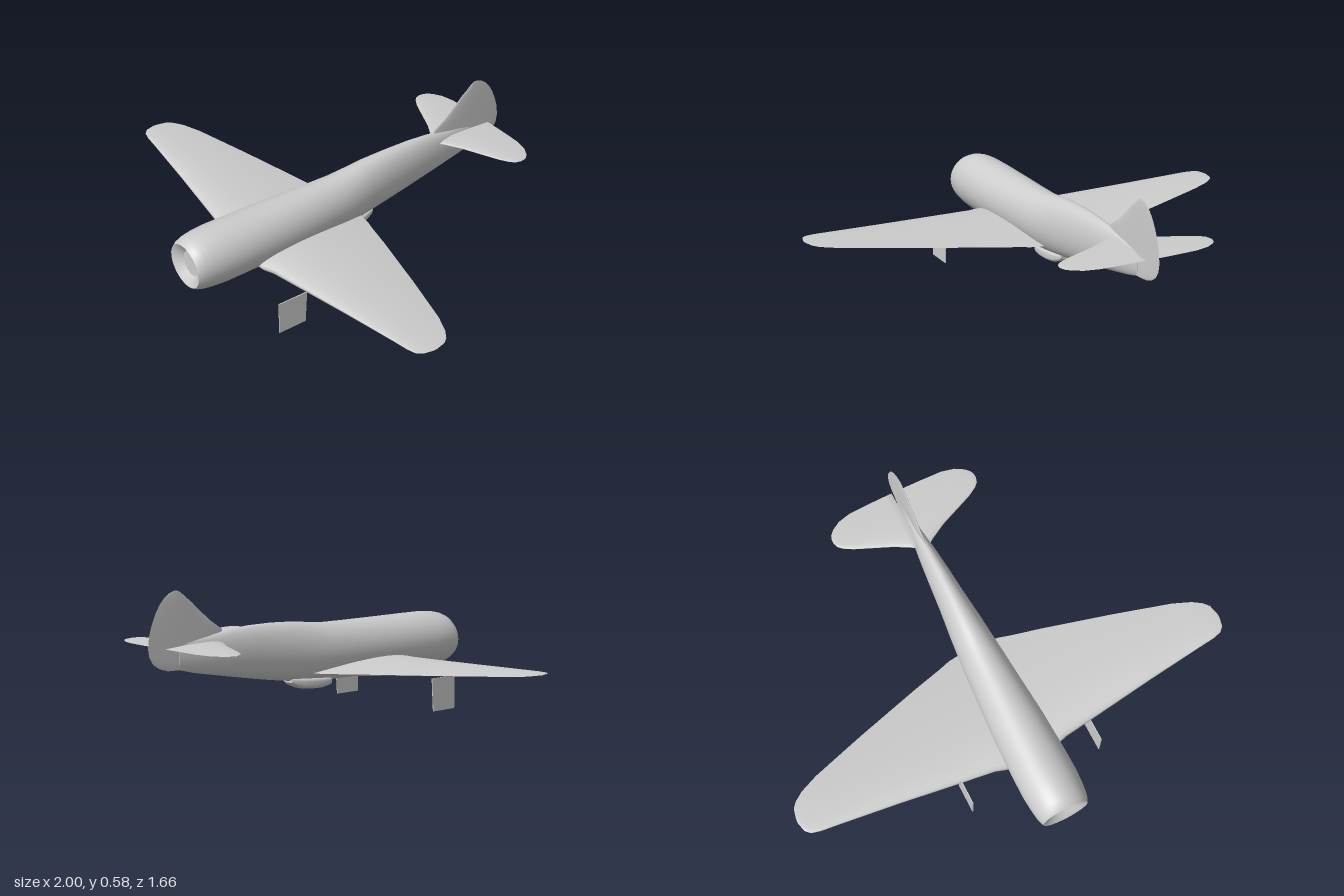
import * as THREE from 'three';

// Skin over a list of rings; "closed" joins each ring's last point to its first.
function loft(rings, closed, capEnd = false) {
  const n = rings[0].length, pos = rings.flat(2), idx = [];
  const steps = closed ? n : n - 1;
  for (let i = 0; i < rings.length - 1; i++) {
    for (let j = 0; j < steps; j++) {
      const a = i * n + j, b = i * n + (j + 1) % n, c = a + n, d = b + n;
      idx.push(a, c, b, b, c, d);
    }
  }
  if (capEnd) {
    const base = pos.length / 3, last = rings[rings.length - 1];
    last.forEach((p) => pos.push(...p));
    for (let j = 1; j < n - 1; j++) idx.push(base, base + j + 1, base + j);
  }
  const g = new THREE.BufferGeometry();
  g.setAttribute('position', new THREE.Float32BufferAttribute(pos, 3));
  g.setIndex(idx);
  g.computeVertexNormals();
  return g;
}

// Ring in the xy plane; power below 1 makes it boxier.
function oval(z, top, bottom, hw, power = 1, n = 40) {
  const bend = (v) => Math.sign(v) * Math.abs(v) ** power;
  return Array.from({ length: n }, (_, j) => {
    const a = (j / n) * Math.PI * 2;
    return [hw * bend(Math.cos(a)), (top + bottom) / 2 + ((top - bottom) / 2) * bend(Math.sin(a)), z];
  });
}

// Airfoil points [z, offset], from trailing edge over one side and back.
function airfoil(lead, trail, thick, n = 32) {
  return Array.from({ length: n + 1 }, (_, j) => {
    const a = (j / n) * Math.PI * 2, x = (1 + Math.cos(a)) / 2;
    const h = 5 * thick * (0.2969 * Math.sqrt(x) - 0.126 * x - 0.3516 * x * x + 0.2843 * x ** 3 - 0.1036 * x ** 4);
    return [lead + (trail - lead) * x, Math.sin(a) >= 0 ? h : -h];
  });
}

// Horizontal surface section: [x, lead z, trail z, y, thickness]
const wingRing = ([x, lead, trail, y, t]) => airfoil(lead, trail, t).map(([z, h]) => [x, y + h, z]);
const mirrored = (list) => list.map(([x, ...rest]) => [-x, ...rest]).reverse();

export function createModel() {
  const model = new THREE.Group();
  model.name = 'airplane';
  const grey = new THREE.MeshStandardMaterial({ color: 0xcccccc, side: THREE.DoubleSide });
  grey.name = 'light grey';
  const add = (name, geometry) => {
    const mesh = new THREE.Mesh(geometry, grey);
    mesh.name = name;
    model.add(mesh);
    return mesh;
  };

  // Fuselage: z, top, bottom, half width
  const body = [
    [0.83, 0.355, 0.168, 0.103], [0.815, 0.37, 0.158, 0.11], [0.79, 0.38, 0.15, 0.116],
    [0.75, 0.388, 0.144, 0.121], [0.69, 0.392, 0.14, 0.125], [0.58, 0.392, 0.14, 0.124],
    [0.4, 0.391, 0.14, 0.117], [0.2, 0.391, 0.14, 0.102], [0.08, 0.392, 0.141, 0.093],
    [0, 0.4, 0.145, 0.085], [-0.08, 0.409, 0.154, 0.077], [-0.2, 0.414, 0.171, 0.063],
    [-0.32, 0.413, 0.191, 0.052], [-0.42, 0.406, 0.209, 0.042], [-0.52, 0.392, 0.227, 0.03],
    [-0.6, 0.38, 0.242, 0.02], [-0.68, 0.366, 0.262, 0.008],
  ];
  add('fuselage', loft(body.map((s) => oval(...s)), true, true));

  // Recessed cowl mouth with a round hub
  add('cowlMouth', loft([
    oval(0.80, 0.315, 0.209, 0.053), oval(0.822, 0.342, 0.182, 0.085), oval(0.83, 0.355, 0.168, 0.103),
  ], true));
  add('hubDisc', new THREE.CircleGeometry(0.054, 40)).position.set(0, 0.262, 0.801);

  // Wing, one skin from tip to tip
  const wing = [
    [1, 0.365, 0.345, 0.252, 0.002], [0.99, 0.405, 0.3, 0.252, 0.006], [0.97, 0.425, 0.275, 0.25, 0.01],
    [0.93, 0.435, 0.247, 0.248, 0.014], [0.85, 0.443, 0.212, 0.243, 0.02], [0.6, 0.47, 0.133, 0.225, 0.04],
    [0.3, 0.507, 0.045, 0.204, 0.062], [0.17, 0.522, 0.01, 0.194, 0.076], [0.12, 0.537, -0.006, 0.19, 0.082],
    [0, 0.545, -0.02, 0.185, 0.085],
  ];
  add('wing', loft([...wing, ...mirrored(wing.slice(0, -1))].map(wingRing), false));

  // Tailplane halves, with a slot for the rudder between them
  const tail = [
    [0.345, -0.66, -0.68, 0.355, 0.002], [0.338, -0.638, -0.698, 0.355, 0.006],
    [0.32, -0.62, -0.718, 0.355, 0.009], [0.28, -0.596, -0.742, 0.355, 0.012],
    [0.22, -0.57, -0.756, 0.355, 0.015], [0.12, -0.527, -0.759, 0.355, 0.019],
    [0.05, -0.487, -0.76, 0.355, 0.021], [0.018, -0.465, -0.76, 0.355, 0.022],
  ];
  add('leftTailplane', loft(tail.map(wingRing), false, true));
  // Inner end first, so its open root gets its own cap ring
  const inner = [0.018, -0.6125, -0.6125, 0.355, 0];
  add('rightTailplane', loft(mirrored([...tail, inner]).map(wingRing), false));

  // Fin and rudder: y, lead z, trail z, thickness
  const fin = [
    [0.582, -0.685, -0.7, 0.002], [0.575, -0.668, -0.722, 0.004], [0.555, -0.645, -0.75, 0.006],
    [0.53, -0.612, -0.772, 0.008], [0.495, -0.574, -0.793, 0.01], [0.45, -0.52, -0.812, 0.012],
    [0.41, -0.46, -0.824, 0.014], [0.36, -0.46, -0.83, 0.014], [0.325, -0.55, -0.824, 0.014],
    [0.295, -0.6, -0.805, 0.013], [0.275, -0.64, -0.775, 0.012], [0.263, -0.66, -0.735, 0.01],
  ];
  add('finAndRudder', loft(
    fin.map(([y, lead, trail, t]) => airfoil(lead, trail, t).map(([z, h]) => [-h, y, z])), false, true));

  // Belly scoop with a hollow intake
  add('bellyScoop', loft([
    [0.06, 0.156, 0.132, 0.036], [0.1, 0.158, 0.128, 0.042], [0.105, 0.16, 0.124, 0.047],
    [0.09, 0.162, 0.119, 0.051], [0.05, 0.165, 0.114, 0.053], [0, 0.168, 0.115, 0.052],
    [-0.05, 0.17, 0.121, 0.047], [-0.09, 0.172, 0.137, 0.038], [-0.105, 0.172, 0.15, 0.03],
  ].map((s) => oval(...s, 0.6)), true, true));
  add('scoopBack', new THREE.PlaneGeometry(0.07, 0.022)).position.set(0, 0.144, 0.061);

  // Landing gear doors, thin upright plates below the wing
  const door = new THREE.Shape([[0.59, 0], [0.59, 0.145], [0.45, 0.145], [0.46, 0]]
    .map(([z, y]) => new THREE.Vector2(-z, y)));
  for (const side of [1, -1]) {
    const plate = add(side > 0 ? 'leftGearDoor' : 'rightGearDoor',
      new THREE.ExtrudeGeometry(door, { depth: 0.004, bevelEnabled: false }));
    plate.rotation.y = Math.PI / 2;
    plate.position.x = side * 0.307 - 0.002;
  }
  return model;
}
